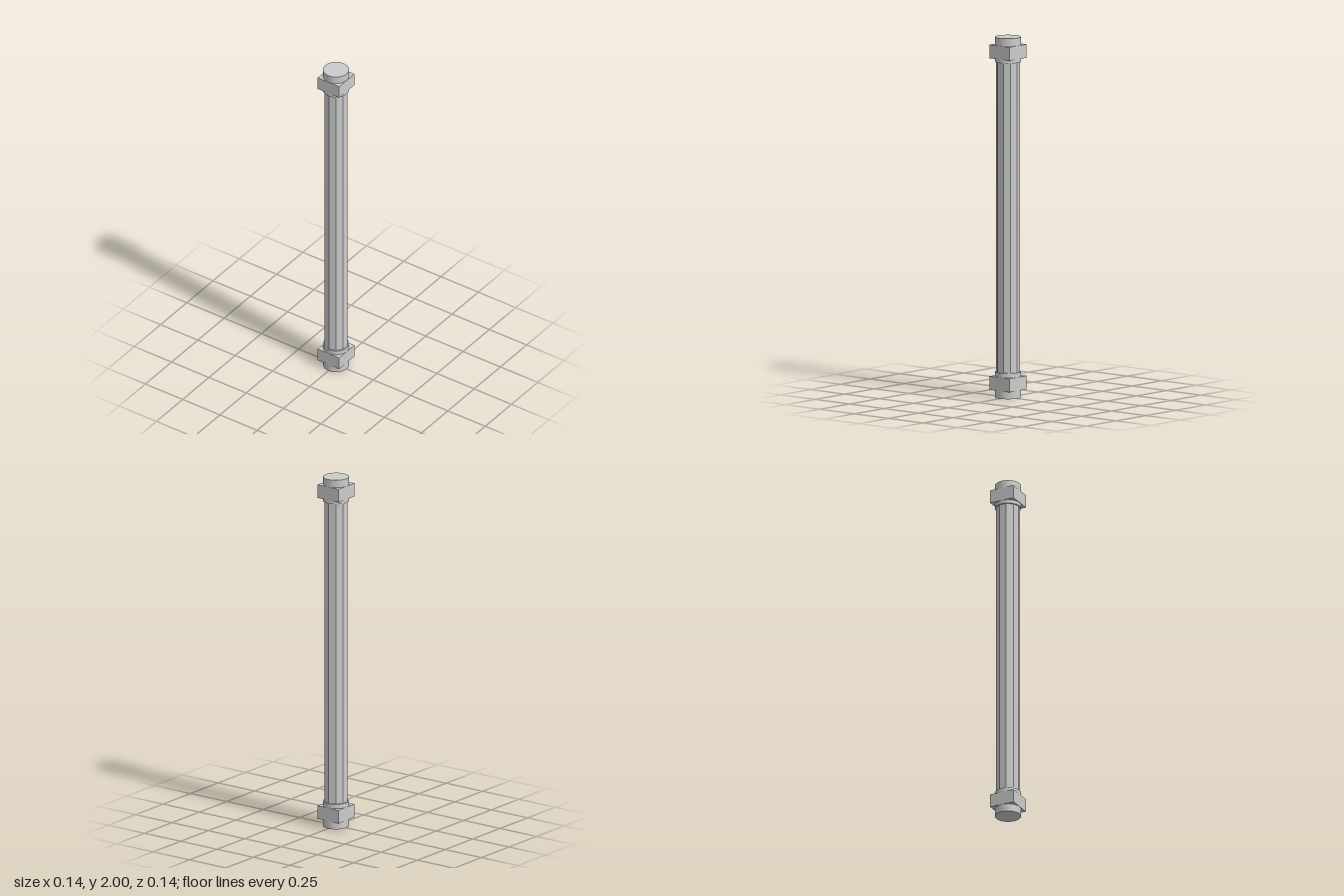
import * as THREE from 'three';

export function createModel() {
  const group = new THREE.Group();
  const smooth = new THREE.MeshStandardMaterial({ color: 0xcccccc });
  const faceted = new THREE.MeshStandardMaterial({ color: 0xcccccc, flatShading: true });

  const add = (name, geometry, material, y) => {
    const mesh = new THREE.Mesh(geometry, material);
    mesh.name = name;
    mesh.position.y = y;
    group.add(mesh);
    return mesh;
  };

  // Ten-sided shaft, with corners pointing to the left and right
  const shaft = new THREE.CylinderGeometry(0.066, 0.066, 1.76, 10);
  shaft.rotateY(Math.PI / 2);
  add('shaft', shaft, faceted, 1);

  // Each end: a round collar passing through a square block
  const ends = [
    { name: 'bottom', collar: [0, 0.143], block: [0.043, 0.118] },
    { name: 'top', collar: [1.862, 2], block: [1.882, 1.957] },
  ];
  for (const { name, collar: [c0, c1], block: [b0, b1] } of ends) {
    add(`${name}Collar`, new THREE.CylinderGeometry(0.0715, 0.0715, c1 - c0, 48), smooth, (c0 + c1) / 2);
    add(`${name}Block`, new THREE.BoxGeometry(0.145, b1 - b0, 0.145), faceted, (b0 + b1) / 2);
  }
  return group;
}
